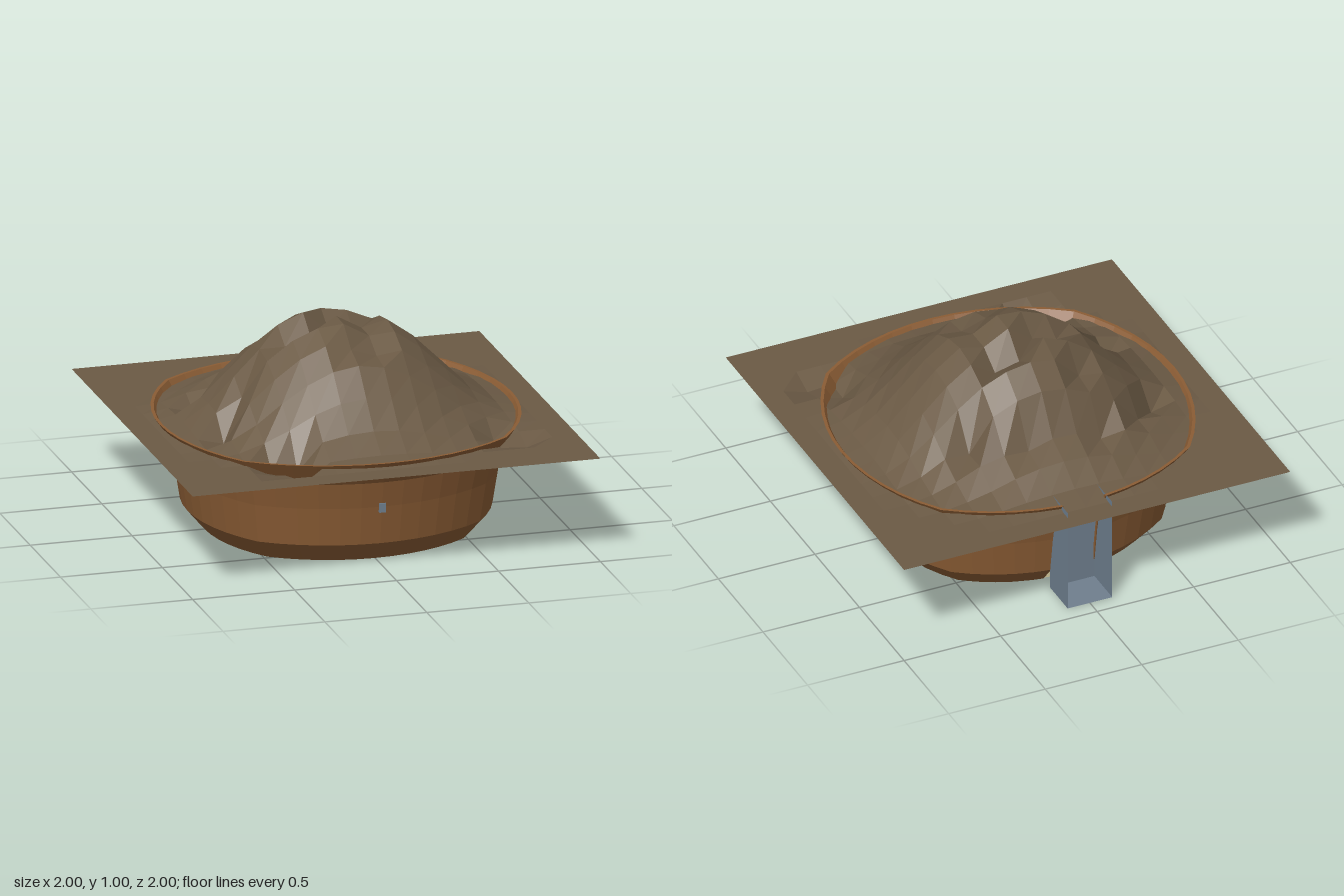
import * as THREE from 'three';

const mat = (color) => new THREE.MeshStandardMaterial({ color, flatShading: true, side: THREE.DoubleSide });

// Four shallow arcs meeting at 45 degree corners; r is the radius on the axes.
function outline(a, r) {
  const quarter = Math.PI / 2;
  const phi = a - Math.round(a / quarter) * quarter;
  const rho = (r / 0.865) * (Math.sqrt(1.055 ** 2 - (0.19 * Math.sin(phi)) ** 2) - 0.19 * Math.cos(phi));
  return [rho * Math.sin(a), rho * Math.cos(a)];
}

// Thick pot wall, open by a narrow gap at the back
function potWall() {
  const profile = [[0.645, 0], [0.73, 0.1], [0.76, 0.29], [0.79, 0.42], [0.865, 0.537],
    [0.85, 0.537], [0.775, 0.42], [0.745, 0.29], [0.715, 0.1], [0.63, 0]];
  const n = profile.length, cols = 47, pos = [], idx = [];
  for (let i = 0; i < cols; i++) {
    for (const [r, y] of profile) {
      const gap = Math.asin(0.11 / r);
      let a = Math.PI + (i + 1) * Math.PI / 24;
      if (i === 0) a = Math.PI + gap;
      if (i === cols - 1) a = 3 * Math.PI - gap;
      const [x, z] = outline(a, r);
      pos.push(x, y, z);
    }
  }
  for (let i = 0; i < cols - 1; i++) {
    for (let j = 0; j < n; j++) {
      const a = i * n + j, b = i * n + (j + 1) % n, c = a + n, d = b + n;
      idx.push(a, c, b, b, c, d);
    }
  }
  // end caps beside the gap
  for (let j = 0; j < n / 2 - 1; j++) {
    const k = (cols - 1) * n, m = n - 1 - j;
    idx.push(j, j + 1, m, j + 1, m - 1, m);
    idx.push(k + j, k + m, k + j + 1, k + j + 1, k + m, k + m - 1);
  }
  const g = new THREE.BufferGeometry();
  g.setAttribute('position', new THREE.Float32BufferAttribute(pos, 3));
  g.setIndex(idx);
  g.computeVertexNormals();
  return g;
}

// Thick floor pierced by drainage slots
function floorGeometry() {
  const v = (p) => p.map(([x, z]) => new THREE.Vector2(x, z));
  const ring = [];
  for (let i = 0; i < 48; i++) ring.push(outline(i * Math.PI / 24, 0.64));
  const shape = new THREE.Shape(v(ring));
  const rect = (x, z, w, d) => [[x - w / 2, z - d / 2], [x + w / 2, z - d / 2], [x + w / 2, z + d / 2], [x - w / 2, z + d / 2]];
  const corner = [[0.22, 0.56], [0.45, 0.45], [0.56, 0.22], [0.47, 0.22], [0.22, 0.47]];
  const holes = [rect(0.21, -0.08, 0.11, 0.36), rect(-0.31, -0.06, 0.11, 0.36),
    rect(0.08, 0.42, 0.36, 0.11), rect(0.525, 0.05, 0.09, 0.44)];
  for (const [sx, sz] of [[1, -1], [-1, 1], [-1, -1]]) holes.push(corner.map(([x, z]) => [x * sx, z * sz]));
  for (const h of holes) shape.holes.push(new THREE.Path(v(h)));
  const g = new THREE.ExtrudeGeometry(shape, { depth: 0.1, bevelEnabled: false });
  return g.rotateX(Math.PI / 2).translate(0, 0.1, 0);
}

// Square sheet of soil heaped into a lumpy mound
function soilGeometry() {
  const heights = [1, 0.99, 0.89, 0.71, 0.465, 0.22, 0.06, 0, 0];
  // grid column, grid row, drop
  const dips = [[-1, 0, 0.1], [-2, 0, 0.09], [0, -1, 0.12], [1, -1, 0.13], [1, 0, 0.08], [1, 1, 0.06], [0, 2, 0.05],
    [1, 2, 0.07], [-2, -2, 0.07], [-2, -4, 0.08], [0, -4, 0.07], [1, -4, 0.09], [-1, -4, 0.06], [3, -3, 0.1], [2, -4, 0.04],
    [-5, -2, 0.09], [-5, 2, 0.09], [-4, -3, 0.05], [-4, 1, 0.05], [5, 4, 0.05], [6, 5, 0.04], [5, 5, 0.03],
    [-3, 5, 0.1], [-3, 6, 0.08], [-4, 5, 0.07], [-4, 6, 0.03]];
  const g = new THREE.PlaneGeometry(2, 2, 16, 16).rotateX(-Math.PI / 2);
  const p = g.attributes.position;
  for (let i = 0; i < p.count; i++) {
    const cx = Math.round(p.getX(i) * 8), cz = Math.round(p.getZ(i) * 8);
    const r = Math.min(Math.hypot(cx, cz), 7.99), k = Math.floor(r);
    let y = 0.51 + 0.5 * THREE.MathUtils.lerp(heights[k], heights[k + 1], r - k);
    for (const [dx, dz, drop] of dips) if (dx === cx && dz === cz) y -= drop;
    p.setY(i, Math.min(y, 0.995));
  }
  g.computeVertexNormals();
  return g;
}

export function createModel() {
  const model = new THREE.Group();
  const brown = mat(0x8a5c34), soil = mat(0x6b5a45), steel = mat(0x6f7f8e), cream = mat(0xd0c79c);
  const add = (name, geometry, material, parent = model) => {
    const mesh = new THREE.Mesh(geometry, material);
    mesh.name = name;
    parent.add(mesh);
    return mesh;
  };

  add('potWall', potWall(), brown);
  add('potFloor', floorGeometry(), [brown, cream]);
  add('soilMound', soilGeometry(), soil);

  // Thin open channel set into the back gap
  const channel = new THREE.Group();
  channel.name = 'backChannel';
  model.add(channel);
  for (const s of [-1, 1]) {
    add('channelSide', new THREE.PlaneGeometry(0.2, 0.537).rotateY(s * Math.PI / 2), steel, channel)
      .position.set(s * 0.115, 0.2685, -0.82);
  }
  add('channelPanel', new THREE.PlaneGeometry(0.23, 0.5).rotateY(Math.PI), steel, channel).position.set(0, 0.25, -0.72);
  add('channelBase', new THREE.PlaneGeometry(0.23, 0.2).rotateX(Math.PI / 2), steel, channel).position.set(0, 0.001, -0.82);

  // Small studs on the front and both sides
  for (const a of [-Math.PI / 2, 0, Math.PI / 2]) {
    const stud = add('stud', new THREE.BoxGeometry(0.03, 0.045, 0.03), steel);
    stud.position.set(Math.sin(a) * 0.757, 0.287, Math.cos(a) * 0.757);
    stud.rotation.y = a;
  }
  return model;
}
